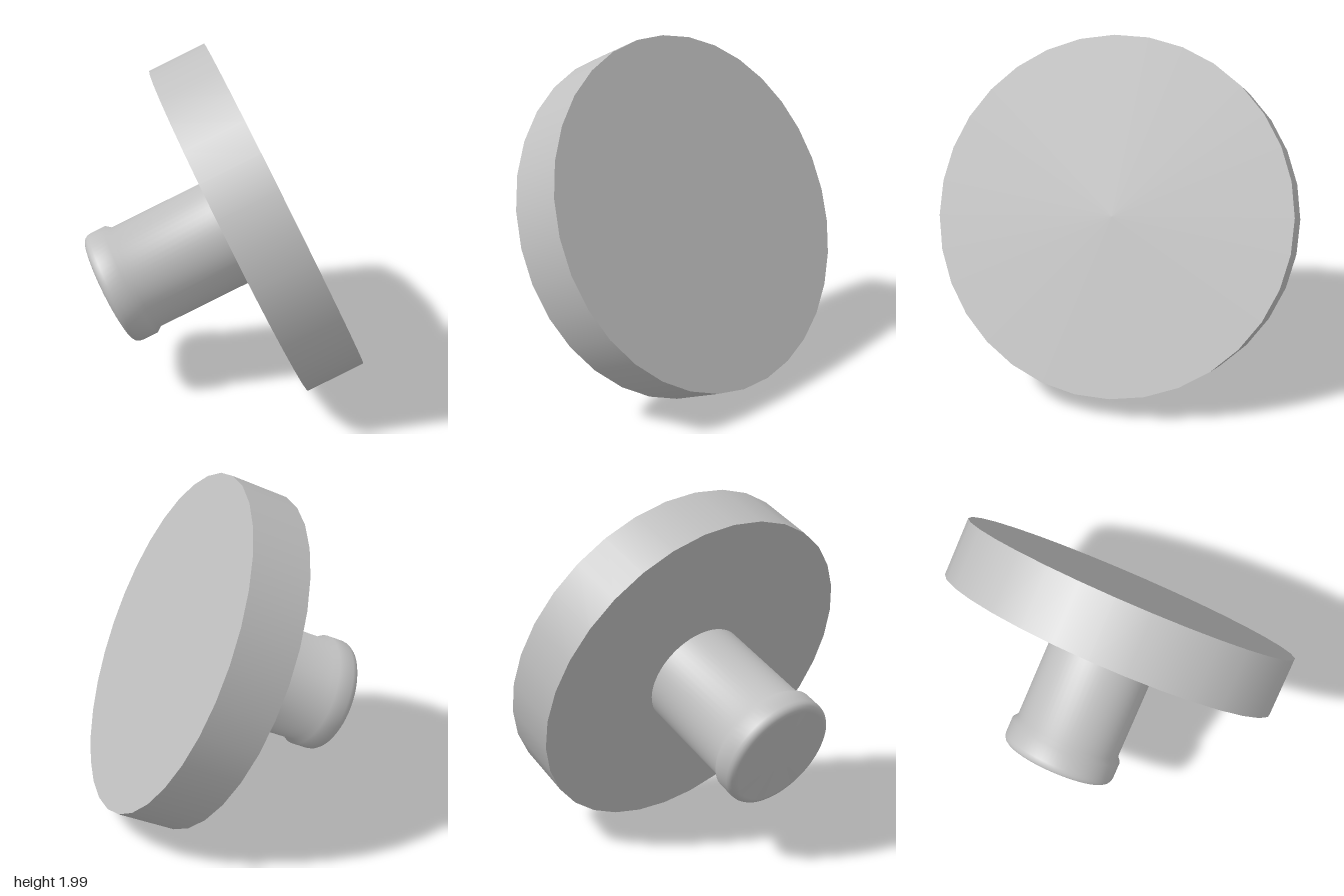
import * as THREE from 'three';
import { toCreasedNormals } from 'three/addons/utils/BufferGeometryUtils.js';

export function createModel() {
  const model = new THREE.Group();
  model.name = 'knob';
  const grey = new THREE.MeshStandardMaterial({ color: 0xc0c0c0 });
  grey.name = 'plain grey';

  // Wide disc, its inner face at local y = 0
  const disc = new THREE.Mesh(new THREE.CylinderGeometry(1.02, 1.02, 0.348, 32), grey);
  disc.name = 'disc';
  disc.position.y = -0.174;

  // Stem with a slightly wider head and a rounded rim
  const profile = [
    [0.318, 0], [0.318, 0.6], [0.342, 0.63], [0.342, 0.725],
    [0.339, 0.743], [0.33, 0.758], [0.317, 0.767], [0.302, 0.77], [0.295, 0.77], [0, 0.77],
  ].map(([r, y]) => new THREE.Vector2(r, y));
  const stem = new THREE.Mesh(toCreasedNormals(new THREE.LatheGeometry(profile, 64), 0.75), grey);
  stem.name = 'stem';

  // Tilt the shared axis so the stem points left, down and forward
  const body = new THREE.Group();
  body.name = 'tiltedBody';
  body.add(disc, stem);
  const axis = new THREE.Vector3(-0.805, -0.42, 0.42).normalize();
  body.quaternion.setFromUnitVectors(new THREE.Vector3(0, 1, 0), axis);
  body.position.set(-0.035, 0.926, 0.074);
  model.add(body);
  return model;
}
